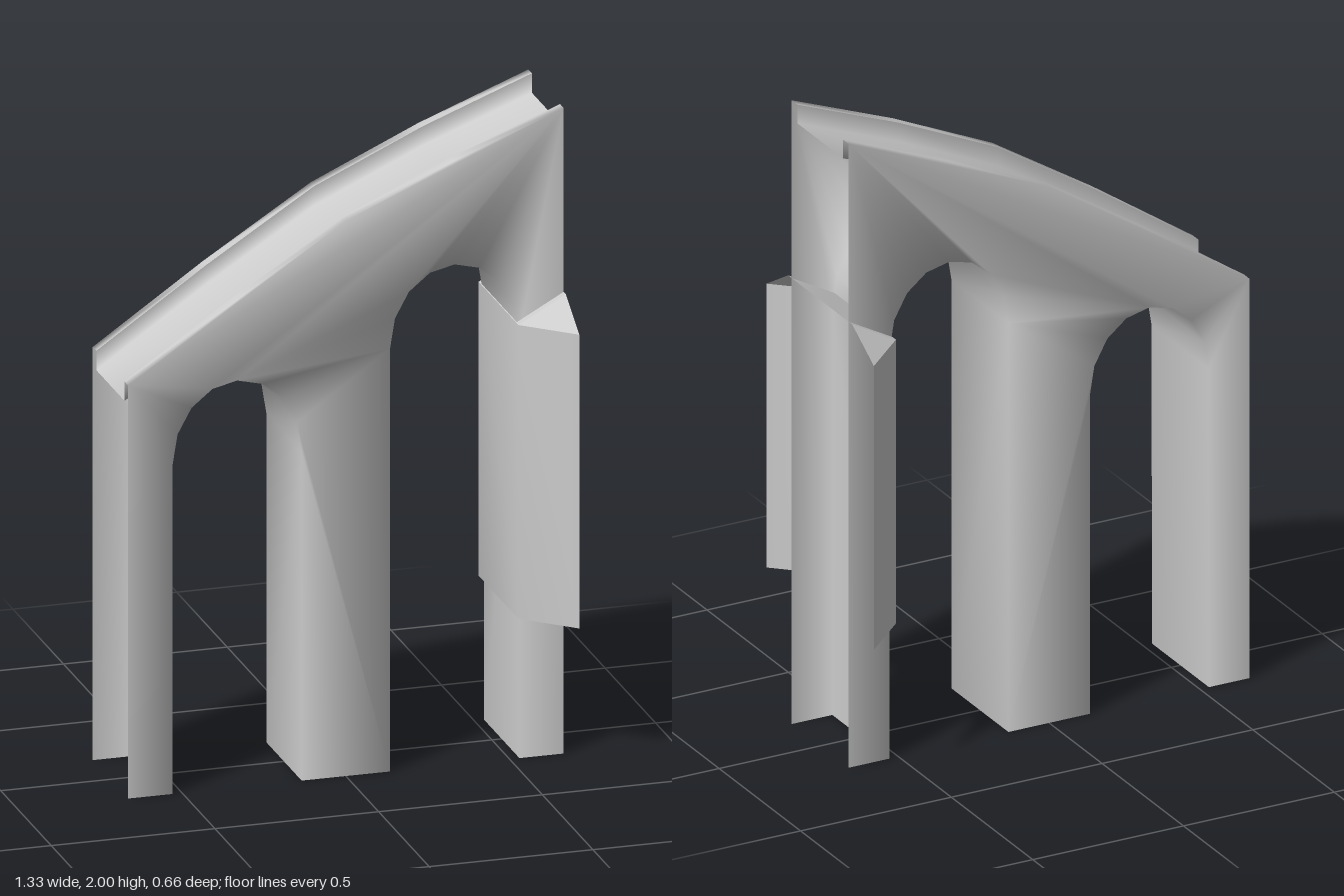
import * as THREE from 'three';

const material = new THREE.MeshStandardMaterial({ color: 0xcccccc, side: THREE.DoubleSide });

const END = 0.665, HALF = 0.175, RAIL = 0.14, PIER = 0.135, DEPTH = 0.06;

// climbing top line, right to left
const crest = [[END, 2.0], [0.33, 1.87], [0, 1.72], [-0.33, 1.51], [-END, 1.28]];

function makeMesh(name, points, index) {
  const g = new THREE.BufferGeometry();
  g.setAttribute('position', new THREE.Float32BufferAttribute(points.flat(), 3));
  g.setIndex(index);
  g.computeVertexNormals();
  const mesh = new THREE.Mesh(g, material);
  mesh.name = name;
  return mesh;
}

// skin between equal rows of points
function skin(name, rows) {
  const n = rows[0].length, index = [];
  for (let r = 0; r < rows.length - 1; r++) {
    for (let k = 0; k < n - 1; k++) {
      const a = r * n + k, b = a + n;
      index.push(a, a + 1, b + 1, a, b + 1, b);
    }
  }
  return makeMesh(name, rows.flat(), index);
}

// half-ellipse arch points, left to right
function arch(cx, spring) {
  const pts = [];
  for (let i = 0; i <= 8; i++) {
    const t = Math.PI * (1 - i / 8);
    pts.push([cx + 0.197 * Math.cos(t), spring + 0.24 * Math.sin(t)]);
  }
  return pts;
}

// side walls, arch undersides, pier sides and parapet tops in one smooth shell
function archShell() {
  const lower = [
    [-END, 0], [-END + PIER, 0], ...arch(-0.332, 1.02),
    [-PIER, 0], [PIER, 0], ...arch(0.332, 1.31),
    [END - PIER, 0], [END, 0],
  ];
  const outline = [...lower, ...crest];
  const n = outline.length, m = crest.length;
  const points = [
    ...outline.map(([x, y]) => [x, y, HALF]),
    ...outline.map(([x, y]) => [x, y, -HALF]),
    ...crest.map(([x, y]) => [x, y, RAIL]),
    ...crest.map(([x, y]) => [x, y, -RAIL]),
  ];
  const index = [];
  const quad = (a, b, c, d) => index.push(a, b, c, a, c, d);

  // front and back walls
  const contour = outline.map(([x, y]) => new THREE.Vector2(x, y));
  for (const [a, b, c] of THREE.ShapeUtils.triangulateShape(contour, [])) {
    index.push(a, b, c, n + a, n + c, n + b);
  }
  // undersides; pier feet stay open
  for (let i = 0; i < lower.length - 1; i++) {
    if (lower[i][1] === 0 && lower[i + 1][1] === 0) continue;
    quad(i, n + i, n + i + 1, i + 1);
  }
  // parapet tops
  for (let j = 0; j < m - 1; j++) {
    const f = lower.length + j, fi = 2 * n + j, b = n + f, bi = fi + m;
    quad(f, fi, fi + 1, f + 1);
    quad(bi, b, b + 1, bi + 1);
  }
  return makeMesh('archShell', points, index);
}

// sunken channel between the parapets
function channel() {
  return skin('channel', crest.map(([x, y]) => [
    [x, y, RAIL], [x, y - DEPTH, RAIL], [x, y - DEPTH, -RAIL], [x, y, -RAIL],
  ]));
}

// splayed buttress around the tall end pier, open at the end and below
function buttress() {
  const group = new THREE.Group();
  group.name = 'buttress';
  const plan = [[END, 0.33], [0.52, 0.197], [0.52, -0.197], [END, -0.33]];
  const row = (y) => plan.map(([x, z]) => [x, y, z]);
  group.add(skin('buttressWalls', [row(0.44), row(1.35)].reverse().map((r) => r.reverse())));

  // sloping cap: middle slope and two hips
  const cap = [...row(1.35), [END, 1.43, 0.197], [END, 1.43, -0.197]];
  const flat = [0, 4, 1, 1, 4, 5, 1, 5, 2, 2, 5, 3].map((i) => cap[i]);
  group.add(makeMesh('buttressCap', flat, flat.map((_, i) => i)));
  return group;
}

export function createModel() {
  const model = new THREE.Group();
  model.name = 'archedRamp';
  model.add(archShell(), channel(), buttress());
  return model;
}
